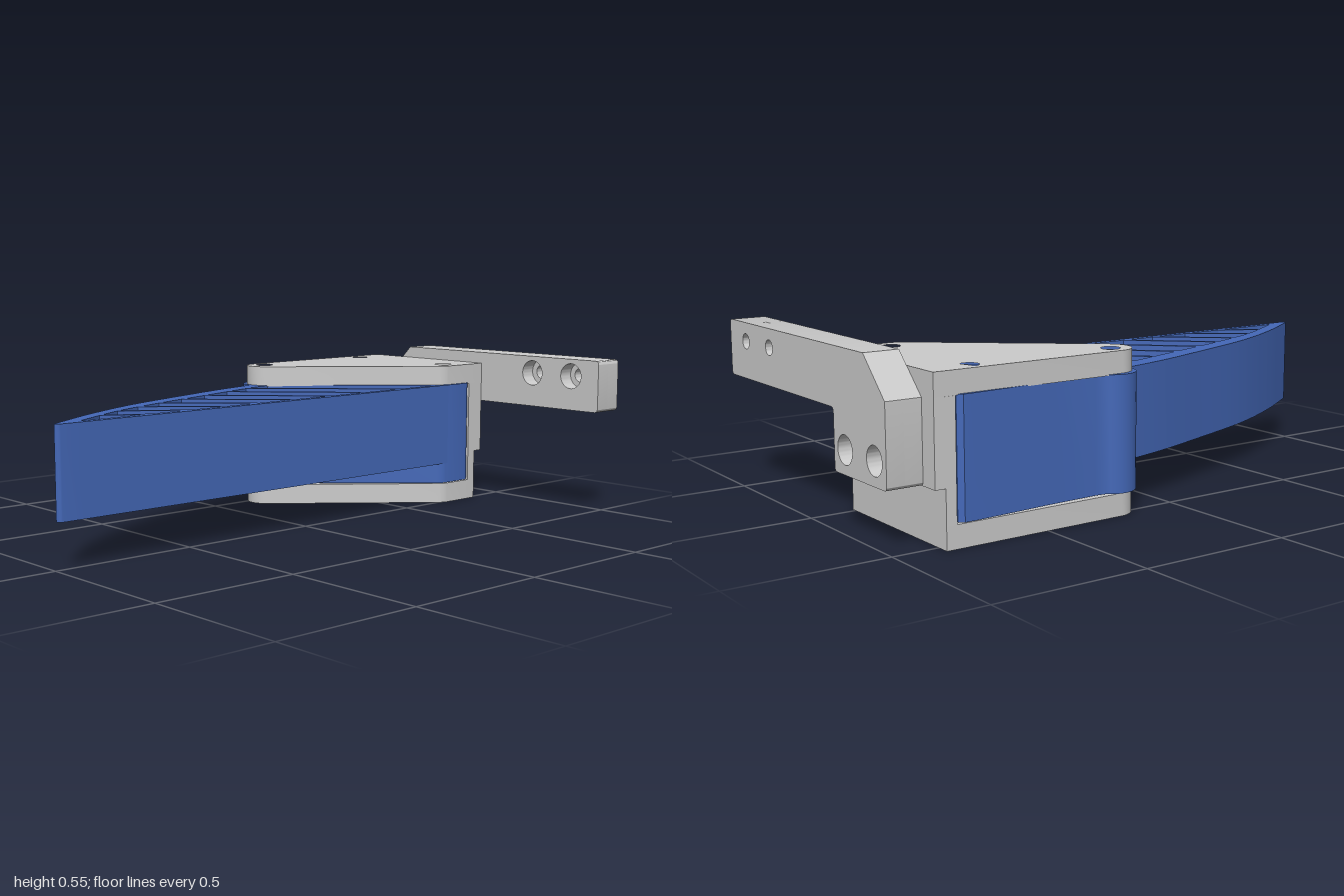
import * as THREE from 'three';
import { toCreasedNormals } from 'three/addons/utils/BufferGeometryUtils.js';

const grey = new THREE.MeshStandardMaterial({ color: 0xcccccc });
const blue = new THREE.MeshStandardMaterial({ color: 0x4468b8 });

// Pivot holes [x, z] shared by the plates and the finger base
const pivots = [[-0.48, -0.225], [-0.49, -0.735], [-0.05, -0.74]];

function circle(x, y, r) {
  return new THREE.Path().absarc(x, y, r, 0, Math.PI * 2, true);
}

// Points of an arc in plan, angles in degrees
function arc(cx, cz, r, a0, a1, n = 12) {
  return Array.from({ length: n + 1 }, (_, i) => {
    const a = THREE.MathUtils.degToRad(a0 + (a1 - a0) * i / n);
    return [cx + r * Math.cos(a), cz + r * Math.sin(a)];
  });
}

function extrude(shape, depth) {
  return new THREE.ExtrudeGeometry(shape, { depth, bevelEnabled: false, curveSegments: 24 });
}

function mesh(name, geometry, material) {
  const m = new THREE.Mesh(toCreasedNormals(geometry, 0.6), material);
  m.name = name;
  return m;
}

// Plan outline of [x, z] points raised from y0 to y1
function slab(name, points, y0, y1, material, holes = []) {
  const shape = new THREE.Shape(points.map(([x, z]) => new THREE.Vector2(x, -z)));
  shape.holes = holes;
  const g = extrude(shape, y1 - y0).rotateX(-Math.PI / 2).translate(0, y0, 0);
  return mesh(name, g, material);
}

function box(name, x0, x1, y0, y1, z0, z1) {
  const g = new THREE.BoxGeometry(x1 - x0, y1 - y0, z1 - z0);
  g.translate((x0 + x1) / 2, (y0 + y1) / 2, (z0 + z1) / 2);
  return mesh(name, g, grey);
}

const pivotHoles = () => pivots.map(([x, z]) => circle(x, -z, 0.03));

function createBracket() {
  const g = new THREE.Group();
  g.name = 'bracket';
  const plate = back => [
    [-0.545, back], [0.015, back],
    ...arc(-0.06, -0.71, 0.075, 0, 40, 6),
    ...arc(-0.465, -0.225, 0.075, 40, 180, 16),
  ];
  g.add(slab('topPlate', plate(-0.885), 0.44, 0.512, grey, pivotHoles()));
  g.add(slab('bottomPlate', plate(-0.85), 0, 0.072, grey, pivotHoles()));
  g.add(box('lowerBackWall', -0.545, 0.015, 0.072, 0.18, -0.85, -0.815));
  g.add(box('upperBackWall', -0.545, 0.015, 0.18, 0.44, -0.885, -0.815));
  return g;
}

function createMountArm() {
  const g = new THREE.Group();
  g.name = 'mountArm';
  const r = 0.015;
  // L-shaped profile with a chamfered top corner; each layer has its own hole sizes
  const layer = (name, z, upperR, lowerR) => {
    const s = new THREE.Shape();
    s.moveTo(-0.48 + r, 0.18);
    s.lineTo(-0.17 - r, 0.18);
    s.quadraticCurveTo(-0.17, 0.18, -0.17, 0.18 + r);
    s.lineTo(-0.17, 0.37 - r);
    s.quadraticCurveTo(-0.17, 0.37, -0.17 + r, 0.37);
    s.lineTo(0.555 - r, 0.37);
    s.quadraticCurveTo(0.555, 0.37, 0.555, 0.37 + r);
    s.lineTo(0.555, 0.553 - r);
    s.quadraticCurveTo(0.555, 0.553, 0.555 - r, 0.553);
    s.lineTo(-0.36, 0.553);
    s.lineTo(-0.48, 0.433);
    s.lineTo(-0.48, 0.18 + r);
    s.quadraticCurveTo(-0.48, 0.18, -0.48 + r, 0.18);
    for (const x of [0.26, 0.435]) s.holes.push(circle(x, 0.492, upperR));
    for (const x of [-0.237, -0.412]) s.holes.push(circle(x, 0.255, lowerR));
    g.add(mesh(name, extrude(s, 0.0575).translate(0, 0, z), grey));
  };
  layer('armBackLayer', -1, 0.025, 0.045);
  layer('armFrontLayer', -0.9425, 0.045, 0.025);
  return g;
}

function createFinger() {
  const g = new THREE.Group();
  g.name = 'finger';
  const y0 = 0.15, y1 = 0.443;

  // Solid base between the plates
  const base = [
    [-0.54, -0.81],
    ...arc(0.0, -0.785, 0.025, -90, 0, 5),
    ...arc(-0.035, -0.69, 0.06, 0, 42, 5),
    ...arc(-0.48, -0.225, 0.08, 42, 225, 20),
    [-0.532, -0.32], [-0.538, -0.5], [-0.555, -0.76], [-0.555, -0.795],
  ];
  g.add(slab('fingerBase', base, 0.077, y1, blue, pivotHoles()));

  // Curved back wall and straight pad wall meeting at the tip
  const spline = pts => new THREE.CatmullRomCurve3(pts.map(([x, z]) => new THREE.Vector3(x, 0, z)))
    .getPoints(30).map(p => [p.x, p.z]);
  const outer = spline([[-0.47, -0.17], [-0.42, 0.03], [-0.35, 0.245], [-0.24, 0.55], [-0.12, 0.79], [0.0, 0.985]]);
  const inner = spline([[-0.41, -0.18], [-0.38, -0.06], [-0.3, 0.195], [-0.22, 0.445], [-0.13, 0.675], [-0.003, 0.9]]);
  const curvedWall = [...outer, ...arc(0.011, 0.986, 0.014, 90, 0, 5), [0.025, 0.9], ...inner.reverse()];
  g.add(slab('curvedWall', curvedWall, y0, y1, blue));
  g.add(slab('padWall', [[0, -0.69], [0.025, -0.69], [0.025, 0.986], [0, 0.96]], y0, y1, blue));

  // Slanted ribs: [x, z] at the curved wall, then z at the pad wall
  const ribs = [
    [-0.38, -0.06, -0.47], [-0.345, 0.06, -0.29], [-0.305, 0.195, -0.12], [-0.262, 0.325, 0.05],
    [-0.22, 0.445, 0.21], [-0.18, 0.56, 0.34], [-0.133, 0.675, 0.49], [-0.08, 0.79, 0.65],
  ];
  for (const [x, z, zPad] of ribs) {
    const d = new THREE.Vector2(0.005 - x, zPad - z).normalize();
    const nx = -d.y * 0.009, nz = d.x * 0.009;
    const ax = x - d.x * 0.015, az = z - d.y * 0.015;
    g.add(slab('rib', [[ax + nx, az + nz], [ax - nx, az - nz], [0.005 - nx, zPad - nz], [0.005 + nx, zPad + nz]], y0, y1, blue));
  }
  return g;
}

export function createModel() {
  const model = new THREE.Group();
  model.name = 'gripperFinger';
  model.add(createBracket(), createMountArm(), createFinger());
  return model;
}
